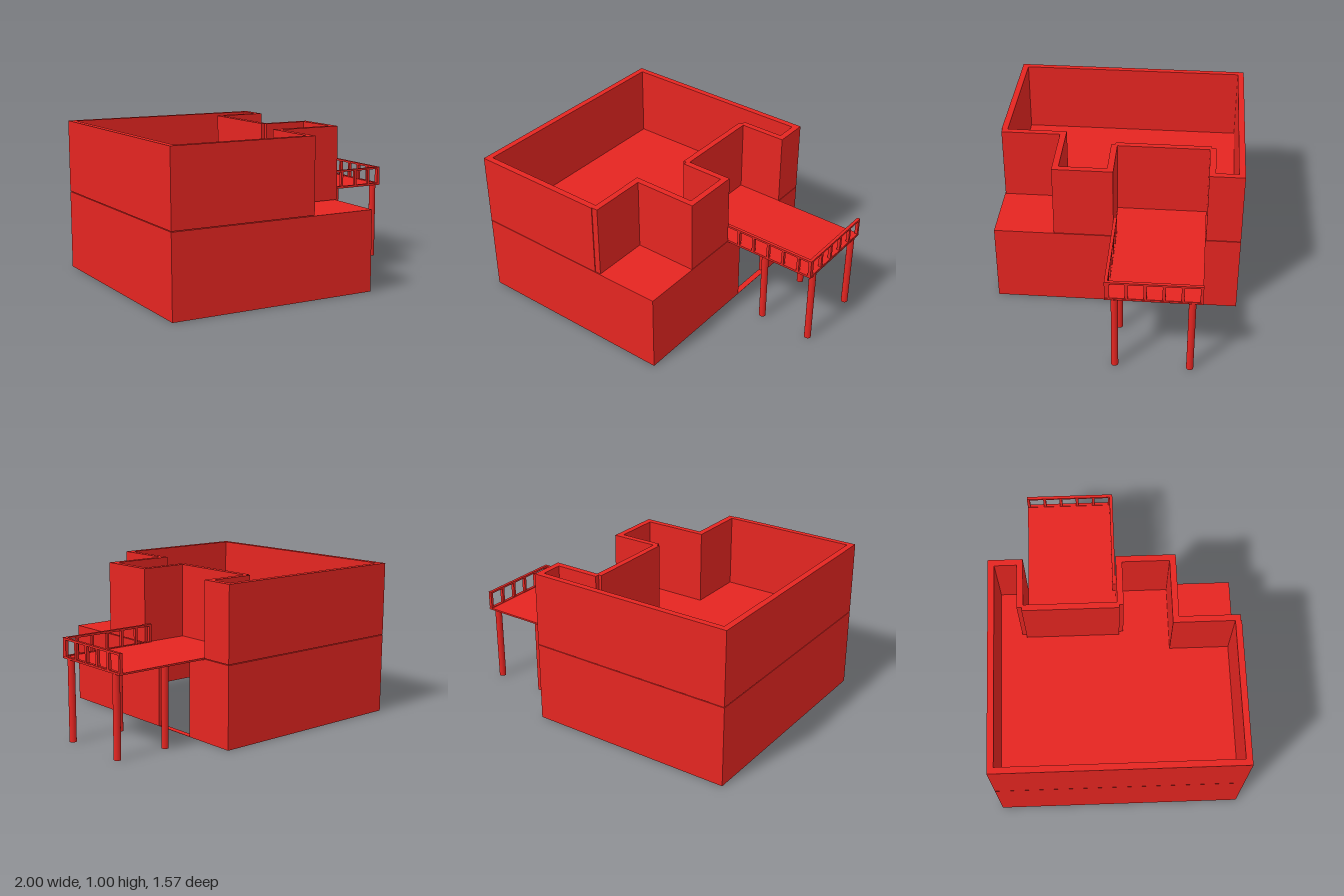
import * as THREE from 'three';

const red = new THREE.MeshStandardMaterial({ color: 0xe52521 });

function addMesh(parent, name, geometry) {
  const mesh = new THREE.Mesh(geometry, red);
  mesh.name = name;
  parent.add(mesh);
  return mesh;
}

// Box given by its limits on each axis
function addBox(parent, name, [x0, x1], [y0, y1], [z0, z1]) {
  const mesh = addMesh(parent, name, new THREE.BoxGeometry(x1 - x0, y1 - y0, z1 - z0));
  mesh.position.set((x0 + x1) / 2, (y0 + y1) / 2, (z0 + z1) / 2);
  return mesh;
}

// Floor plan of [x, z] corners raised from y0 to y1; the hole runs the opposite way round
function addPlan(parent, name, outer, hole, y0, y1) {
  const points = (list) => list.map(([x, z]) => new THREE.Vector2(x, -z));
  const shape = new THREE.Shape(points(outer));
  if (hole) shape.holes.push(new THREE.Path(points(hole).reverse()));
  const geometry = new THREE.ExtrudeGeometry(shape, { depth: y1 - y0, bevelEnabled: false });
  geometry.rotateX(-Math.PI / 2).translate(0, y0, 0);
  return addMesh(parent, name, geometry);
}

export function createModel() {
  const house = new THREE.Group();
  house.name = 'house';

  const W = -1, E = 0.372, N = -0.785, S = 0.785, T = 0.04;
  const doorN = -0.427, doorS = -0.12, ceiling = 0.48, roof = 0.521;

  // Lower storey: walls broken by the doorway, a thin sill and a roof slab
  const lower = new THREE.Group();
  lower.name = 'lowerStorey';
  house.add(lower);
  addPlan(lower, 'lowerWalls', [
    [E, doorN], [E, N], [W, N], [W, S], [E, S], [E, doorS],
    [E - T, doorS], [E - T, S - T], [W + T, S - T], [W + T, N + T], [E - T, N + T], [E - T, doorN],
  ], null, 0, ceiling);
  addBox(lower, 'doorSill', [E - T, E], [0, 0.002], [doorN, doorS]);
  addBox(lower, 'roofSlab', [W, E], [ceiling, roof], [N, S]);

  // Upper storey: open-topped walls with a front corner cut out and a bay for the deck
  const upperOuter = [
    [W, N], [E, N], [E, -0.565], [0.062, -0.565], [0.062, 0.02], [E, 0.02],
    [E, 0.4], [-0.047, 0.4], [-0.047, 0.78], [-0.087, 0.78], [-0.087, S], [W, S],
  ];
  const upperInner = [
    [W + T, N + T], [E - T, N + T], [E - T, -0.605], [0.044, -0.605], [0.044, -0.575], [0.023, -0.575],
    [0.023, 0.033], [0.044, 0.033], [0.044, 0.06], [E - T, 0.06], [E - T, 0.36],
    [-0.087, 0.36], [-0.087, S - T], [W + T, S - T],
  ];
  addPlan(house, 'upperWalls', upperOuter, upperInner, 0.525, 1.003);

  // Deck on four round columns
  const deck = new THREE.Group();
  deck.name = 'deck';
  house.add(deck);
  addBox(deck, 'deckFloor', [0.062, 0.998], [0.517, 0.528], [-0.562, 0.018]);
  for (const x of [0.625, 0.978]) {
    for (const z of [-0.5, -0.04]) {
      const column = addMesh(deck, 'column', new THREE.CylinderGeometry(0.022, 0.022, 0.518, 32));
      column.position.set(x, 0.259, z);
    }
  }

  // Railings along the front and the outer end of the deck
  const railing = new THREE.Group();
  railing.name = 'railing';
  house.add(railing);
  const bars = [[0.518, 0.532], [0.632, 0.645]];
  const posts = [0.532, 0.632];
  for (const y of bars) {
    addBox(railing, 'frontRail', [0.335, 0.996], y, [0, 0.02]);
    addBox(railing, 'endRail', [0.976, 0.996], y, [-0.562, 0]);
  }
  for (let i = 0; i < 6; i++) {
    const x = 0.343 + i * 0.1115;
    addBox(railing, 'frontBaluster', [x - 0.008, x + 0.008], posts, [0, 0.02]);
    const z = -0.553 + i * 0.1105;
    addBox(railing, 'endBaluster', [0.976, 0.996], posts, [z - 0.009, z + 0.009]);
  }
  addBox(railing, 'cornerPost', [0.976, 0.996], posts, [0, 0.02]);

  return house;
}
